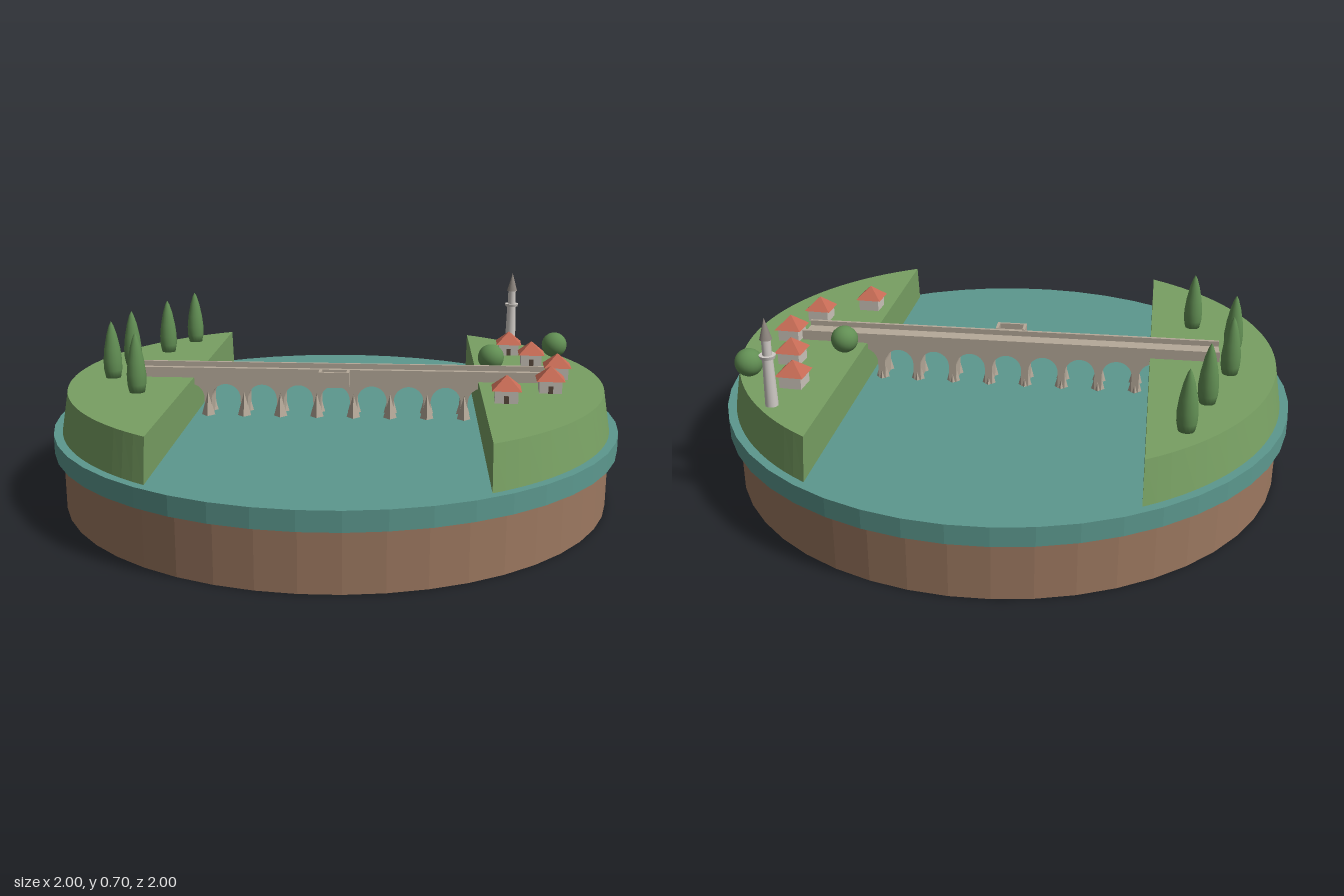
import * as THREE from 'three';

const mat = (name, color) => {
  const m = new THREE.MeshStandardMaterial({ color });
  m.name = name;
  return m;
};

export function createModel() {
  const M = {
    earth: mat('earth brown', 0x9c7860),
    water: mat('river teal', 0x5c988e),
    grass: mat('grass green', 0x78a063),
    stone: mat('bridge stone', 0xb5a999),
    tree: mat('tree green', 0x628f54),
    wall: mat('house plaster', 0xcbc4ba),
    roof: mat('roof tile red', 0xc66b55),
    door: mat('dark door', 0x5a4a3e),
    tower: mat('tower white', 0xcfcac5),
    cap: mat('tower cap grey', 0x8d857e),
  };
  const model = new THREE.Group();
  model.name = 'riverDiorama';
  const GROUND = 0.405;

  const add = (parent, name, geo, material, x = 0, y = 0, z = 0) => {
    const mesh = new THREE.Mesh(geo, material);
    mesh.name = name;
    mesh.position.set(x, y, z);
    parent.add(mesh);
    return mesh;
  };
  const group = (name, x = 0, y = 0, z = 0, parent = model) => {
    const g = new THREE.Group();
    g.name = name;
    g.position.set(x, y, z);
    parent.add(g);
    return g;
  };
  const faceted = (geo) => {
    const g = geo.index ? geo.toNonIndexed() : geo;
    g.computeVertexNormals();
    return g;
  };
  const box = (w, h, d) => new THREE.BoxGeometry(w, h, d);

  // Round base and water disc
  add(model, 'earthBase', faceted(new THREE.CylinderGeometry(0.97, 0.97, 0.2, 48)), M.earth, 0, 0.1, 0);
  add(model, 'water', faceted(new THREE.CylinderGeometry(1, 1, 0.065, 48)), M.water, 0, 0.2325, 0);

  // Banks and bridge share one turned frame: its x runs along the bridge
  const river = group('riverCrossing');
  river.rotation.y = -THREE.MathUtils.degToRad(20);

  // Banks: circle segments whose curved side leans inward
  const EDGE = 0.51, R0 = 0.97, R1 = 0.945;
  const a = Math.acos(EDGE / R0);
  const bankShape = new THREE.Shape();
  bankShape.absarc(0, 0, R0, -a, a, false);
  const bankGeo = new THREE.ExtrudeGeometry(bankShape, { depth: GROUND - 0.262, bevelEnabled: false, curveSegments: 20 });
  bankGeo.rotateX(-Math.PI / 2);
  const p = bankGeo.attributes.position;
  const chord = (r) => Math.sqrt(r * r - EDGE * EDGE);
  for (let i = 0; i < p.count; i++) {
    if (p.getY(i) < 0.05) continue;
    p.setX(i, EDGE + (p.getX(i) - EDGE) * (R1 - EDGE) / (R0 - EDGE));
    p.setZ(i, p.getZ(i) * chord(R1) / chord(R0));
  }
  bankGeo.computeVertexNormals();
  add(river, 'leftBank', bankGeo, M.grass, 0, 0.262, 0);
  add(river, 'rightBank', bankGeo, M.grass, 0, 0.262, 0).rotation.y = Math.PI;

  // Bridge arcade: one wall with round arches, the end ones buried in the banks
  const bridge = group('bridge', 0, 0, 0, river);
  const STEP = 0.132, AR = 0.053, SPRING = 0.327, FOOT = 0.255, DEPTH = 0.088;
  const arcade = new THREE.Shape();
  arcade.moveTo(-0.6, FOOT);
  for (let i = -4; i <= 4; i++) {
    const c = i * STEP;
    arcade.lineTo(c - AR, FOOT);
    arcade.lineTo(c - AR, SPRING);
    arcade.absarc(c, SPRING, AR, Math.PI, 0, true);
    arcade.lineTo(c + AR, FOOT);
  }
  arcade.lineTo(0.6, FOOT);
  arcade.lineTo(0.6, 0.41);
  arcade.lineTo(-0.6, 0.41);
  add(bridge, 'arcade', new THREE.ExtrudeGeometry(arcade, { depth: DEPTH, bevelEnabled: false, curveSegments: 10 }),
    M.stone, 0, 0, -DEPTH / 2);

  // Pointed cutwaters at the piers
  const cutGeo = faceted(new THREE.ConeGeometry(0.027, 0.1, 4));
  for (let i = 0; i < 8; i++) {
    for (const [side, v] of [['front', 0.043], ['back', -0.028]]) {
      add(bridge, side + 'Cutwater', cutGeo, M.stone, (i - 3.5) * STEP, 0.305, v);
    }
  }

  // Deck with parapets
  add(bridge, 'deck', box(1.5, 0.022, 0.108), M.stone, 0, 0.412, 0);
  for (const s of [-1, 1]) {
    add(bridge, 'parapet', box(1.5, 0.036, 0.012), M.stone, 0, 0.424, s * 0.05);
  }

  // Balcony hanging off the front of the bridge
  const balcony = group('balcony', 0, 0, 0.085, bridge);
  add(balcony, 'balconyFloor', box(0.108, 0.034, 0.062), M.stone, 0, 0.407, 0);
  add(balcony, 'balconyFrontWall', box(0.108, 0.022, 0.01), M.stone, 0, 0.434, 0.026);
  for (const s of [-1, 1]) {
    add(balcony, 'balconySideWall', box(0.01, 0.022, 0.062), M.stone, s * 0.049, 0.434, 0);
  }

  // Cypresses
  const profile = [[0, 0], [0.026, 0], [0.032, 0.03], [0.033, 0.065], [0.028, 0.11], [0.018, 0.16], [0.008, 0.192], [0, 0.207]];
  const cypressGeo = new THREE.LatheGeometry(profile.map(([r, y]) => new THREE.Vector2(r, y)), 16);
  for (const [x, z] of [[-0.39, -0.77], [-0.525, -0.6], [-0.685, -0.4], [-0.775, -0.21], [-0.715, 0.03]]) {
    add(model, 'cypress', cypressGeo, M.tree, x, GROUND - 0.002, z);
  }

  // Round bushes
  for (const [x, z] of [[0.58, 0.06], [0.91, -0.08]]) {
    add(model, 'roundTree', new THREE.SphereGeometry(0.048, 20, 14), M.tree, x, 0.453, z);
  }

  // Houses with pyramid roofs
  const roofGeo = new THREE.ConeGeometry(0.096 / Math.SQRT2, 0.046, 4);
  roofGeo.rotateY(Math.PI / 4);
  const roof = faceted(roofGeo);
  for (const [x, z] of [[0.445, 0.49], [0.645, 0.41], [0.76, 0.235], [0.765, 0.015], [0.765, -0.185]]) {
    const house = group('house', x, GROUND, z);
    house.rotation.y = -THREE.MathUtils.degToRad(23);
    add(house, 'houseWalls', box(0.076, 0.046, 0.076), M.wall, 0, 0.022, 0);
    add(house, 'houseRoof', roof, M.roof, 0, 0.066, 0);
    add(house, 'houseDoor', box(0.016, 0.026, 0.004), M.door, 0, 0.013, 0.039);
  }

  // Slender tower with a ring balcony and pointed cap
  const tower = group('tower', 0.84, GROUND, -0.33);
  const drum = (name, r1, r0, y0, y1, m) =>
    add(tower, name, new THREE.CylinderGeometry(r1, r0, y1 - y0, 16), m, 0, (y0 + y1) / 2, 0);
  drum('towerShaft', 0.017, 0.021, 0, 0.165, M.tower);
  drum('towerBalcony', 0.027, 0.024, 0.163, 0.174, M.tower);
  drum('towerTop', 0.015, 0.015, 0.174, 0.228, M.tower);
  drum('towerCap', 0, 0.02, 0.226, 0.298, M.cap);

  return model;
}
